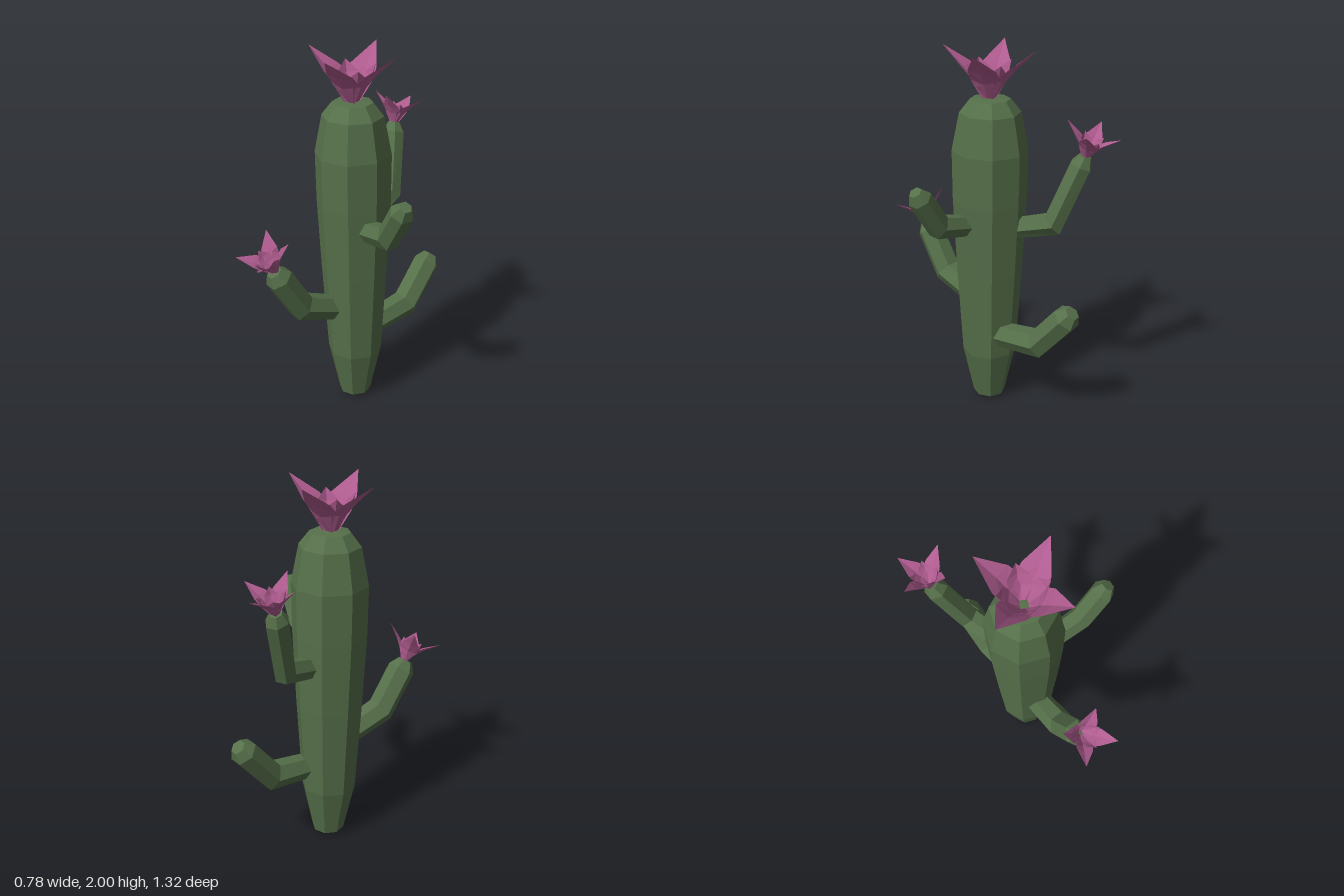
import * as THREE from 'three';

const V = (x, y, z) => new THREE.Vector3(x, y, z);

function meshGeometry(positions, index) {
  const g = new THREE.BufferGeometry();
  g.setAttribute('position', new THREE.Float32BufferAttribute(positions, 3));
  g.setIndex(index);
  g.computeVertexNormals();
  return g;
}

// Six-sided limb lofted along a path, with mitred bends and closed ends
function limbGeometry(path, radii) {
  const SIDES = 6, pos = [], idx = [];
  const n = path.length;
  const span = path[n - 1].clone().sub(path[0]);
  const side = V(0, 1, 0).cross(span).normalize();
  path.forEach((p, i) => {
    const before = p.clone().sub(path[Math.max(i - 1, 0)]).normalize();
    const after = path[Math.min(i + 1, n - 1)].clone().sub(p).normalize();
    const t = before.clone().add(after).normalize();
    const bend = i > 0 && i < n - 1 ? 1 / Math.max(t.dot(after), 0.8) : 1;
    const up = t.clone().cross(side).normalize();
    for (let k = 0; k < SIDES; k++) {
      const a = (k / SIDES) * Math.PI * 2;
      const v = p.clone()
        .addScaledVector(side, Math.cos(a) * radii[i])
        .addScaledVector(up, Math.sin(a) * radii[i] * bend);
      pos.push(v.x, v.y, v.z);
    }
  });
  for (let i = 0; i < n - 1; i++) {
    for (let k = 0; k < SIDES; k++) {
      const a = i * SIDES + k, b = i * SIDES + (k + 1) % SIDES;
      idx.push(a, b, b + SIDES, a, b + SIDES, a + SIDES);
    }
  }
  const last = (n - 1) * SIDES;
  for (let k = 1; k < SIDES - 1; k++) {
    idx.push(0, k + 1, k, last, last + k, last + k + 1);
  }
  return meshGeometry(pos, idx);
}

// Pointed petal leaning toward +x; rows are [radius, height, half width, cup depth]
function petalGeometry(rows, tip) {
  const pos = [], idx = [];
  rows.forEach(([r, y, w, cup]) => {
    pos.push(r - cup, y + cup * 0.4, -w, r, y, 0, r - cup, y + cup * 0.4, w);
  });
  for (let i = 0; i < rows.length - 1; i++) {
    for (let k = 0; k < 2; k++) {
      const a = i * 3 + k;
      idx.push(a, a + 3, a + 4, a, a + 4, a + 1);
    }
  }
  const a = (rows.length - 1) * 3, end = rows.length * 3;
  pos.push(tip[0], tip[1], 0);
  idx.push(a, end, a + 1, a + 1, end, a + 2);
  return meshGeometry(pos, idx);
}

export function createModel() {
  const green = new THREE.MeshStandardMaterial({ color: 0x56704a, flatShading: true });
  green.name = 'cactusGreen';
  const pink = new THREE.MeshStandardMaterial({ color: 0xb05c90, flatShading: true, side: THREE.DoubleSide });
  pink.name = 'petalPink';

  const model = new THREE.Group();
  model.name = 'cactus';

  const add = (parent, name, geometry, material) => {
    const mesh = new THREE.Mesh(geometry, material);
    mesh.name = name;
    parent.add(mesh);
    return mesh;
  };

  // Eight-sided trunk, narrow at the foot
  const profile = [[0, 0], [0.088, 0.02], [0.148, 0.3], [0.178, 0.8], [0.197, 1.2],
    [0.2, 1.47], [0.16, 1.67], [0.105, 1.74], [0, 1.75]];
  const trunk = add(model, 'trunk', new THREE.LatheGeometry(
    profile.map(([r, y]) => new THREE.Vector2(r, y)), 8, Math.PI / 6), green);
  trunk.position.set(-0.113, 0, 0.01);

  // Arms: root, bend, top, then a short tapered cap
  const arms = [
    ['frontArm', V(-0.145, 0.575, 0.08), V(-0.215, 0.67, 0.33), V(-0.252, 0.885, 0.458), 0.075],
    ['lowBackArm', V(-0.06, 0.43, -0.06), V(-0.01, 0.46, -0.33), V(0.018, 0.665, -0.5), 0.076],
    ['leftArm', V(-0.03, 1.07, 0.05), V(0.21, 1.13, 0.14), V(0.32, 1.31, 0.182), 0.064],
    ['highBackArm', V(-0.11, 1.04, -0.08), V(-0.135, 1.11, -0.345), V(-0.2, 1.43, -0.462), 0.062],
  ];
  for (const [name, root, bend, top, r] of arms) {
    const dir = top.clone().sub(bend).normalize();
    const cap = top.clone().addScaledVector(dir, 0.052);
    add(model, name, limbGeometry([root, bend, top, cap], [r * 0.9, r, r, r * 0.55]), green);
  }

  // Flowers: four spreading outer petals around four upright inner ones
  const outer = petalGeometry([[0.02, -0.01, 0.025, 0], [0.085, 0.09, 0.082, 0.03],
    [0.14, 0.155, 0.075, 0.022]], [0.25, 0.26]);
  const inner = petalGeometry([[0.015, 0, 0.02, 0], [0.075, 0.07, 0.058, 0.025],
    [0.105, 0.125, 0.055, 0.025]], [0.125, 0.19]);
  const flower = (name, base, axis, scale, phase) => {
    const group = new THREE.Group();
    group.name = name;
    for (let i = 0; i < 4; i++) {
      const a = -(phase + i * 90) * Math.PI / 180;
      add(group, 'outerPetal', outer, pink).rotation.y = a;
      add(group, 'innerPetal', inner, pink).rotation.y = a - Math.PI / 4;
    }
    group.position.copy(base);
    group.quaternion.setFromUnitVectors(V(0, 1, 0), axis.normalize());
    group.scale.setScalar(scale);
    model.add(group);
  };
  flower('topFlower', V(-0.113, 1.74, 0.015), V(0, 1, 0), 1, -8);
  flower('frontFlower', V(-0.255, 0.935, 0.475), V(-0.02, 0.135, 0.07), 0.6, 60);
  flower('backFlower', V(-0.21, 1.475, -0.48), V(0, 0.165, -0.046), 0.58, -6);

  return model;
}
